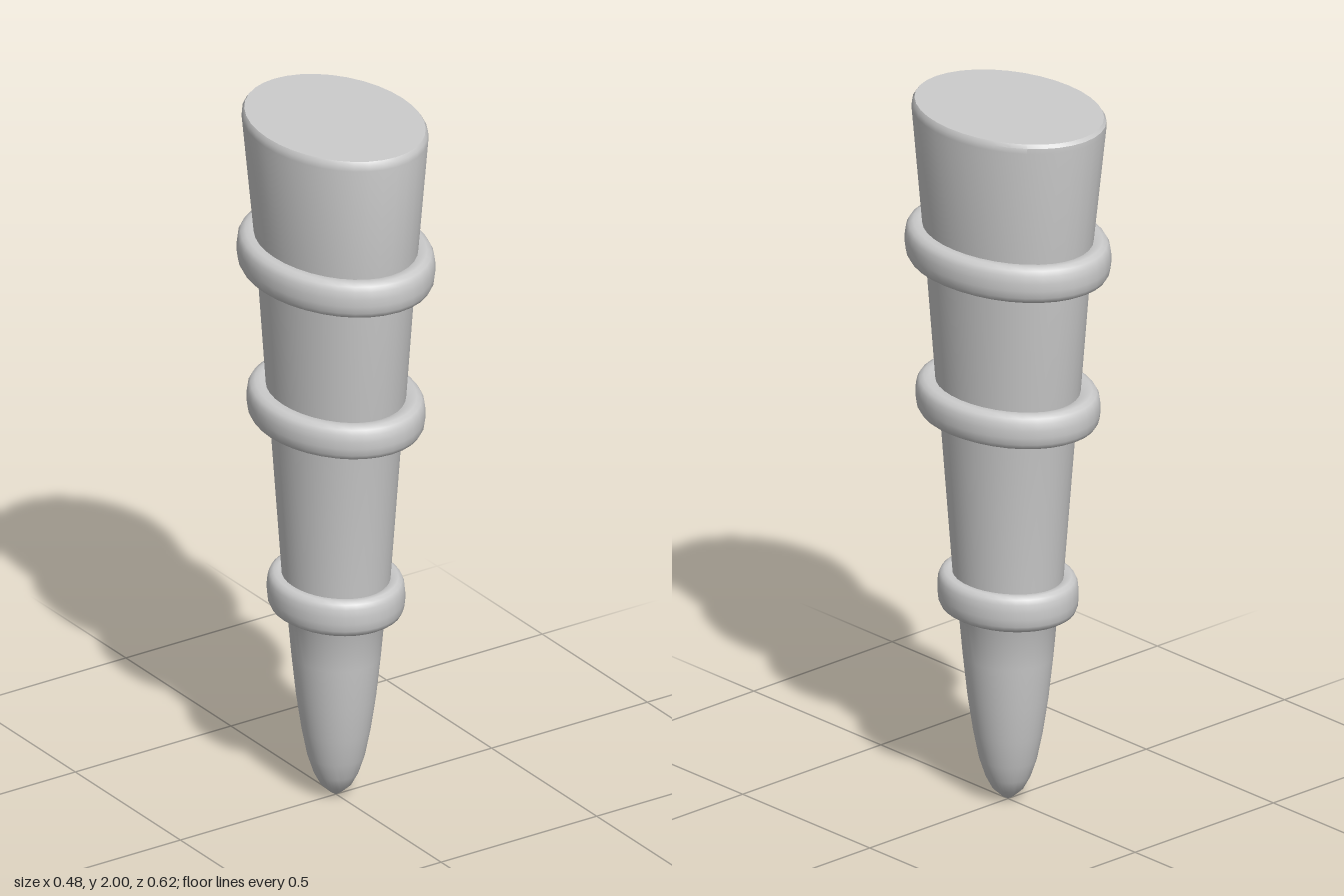
import * as THREE from 'three';
import { toCreasedNormals } from 'three/addons/utils/BufferGeometryUtils.js';

const SIDES = 36;

// Skin elliptical cross-sections, rows of [y, half width in x, half depth in z, z shift], bottom to top.
function loft(rows, crease) {
  const geometry = new THREE.LatheGeometry(rows.map(([y, rx]) => new THREE.Vector2(rx, y)), SIDES);
  const pos = geometry.attributes.position;
  for (let i = 0; i <= SIDES; i++) {
    const a = (i / SIDES) * Math.PI * 2;
    rows.forEach(([y, rx, rz, dz = 0], j) => {
      pos.setXYZ(i * rows.length + j, rx * Math.sin(a), y, rz * Math.cos(a) + dz);
    });
  }
  return toCreasedNormals(geometry, crease);
}

// Rounded band: an outer elliptical edge whose section bulges out from the body.
function ringRows(y0, y1, rx, rz, depth) {
  const mid = (y0 + y1) / 2, half = (y1 - y0) / 2;
  const section = [
    [-0.8, 1.4], [-1, 0.85], [-0.98, 0.5], [-0.85, 0.22], [-0.6, 0.06], [-0.2, 0],
    [0.2, 0], [0.6, 0.06], [0.85, 0.22], [0.98, 0.5], [1, 0.85], [0.8, 1.4],
  ];
  return section.map(([v, inset]) => [mid + v * half, rx - inset * depth, rz - inset * depth]);
}

export function createModel() {
  const group = new THREE.Group();
  const material = new THREE.MeshStandardMaterial({ color: 0xcccccc });
  const add = (name, geometry) => {
    const mesh = new THREE.Mesh(geometry, material);
    mesh.name = name;
    group.add(mesh);
  };

  // Tapering shaft with a blunt rounded tip and a flat, softly bevelled top
  add('shaft', loft([
    [0, 0, 0], [0.012, 0.018, 0.018], [0.035, 0.042, 0.043], [0.07, 0.06, 0.062],
    [0.12, 0.076, 0.079], [0.2, 0.091, 0.096], [0.3, 0.105, 0.112], [0.42, 0.117, 0.126],
    [0.53, 0.126, 0.137], [0.555, 0.136, 0.148], [0.6, 0.138, 0.154], [0.66, 0.139, 0.16],
    [1.1, 0.165, 0.2], [1.2, 0.172, 0.217], [1.54, 0.19, 0.25], [1.65, 0.199, 0.261],
    [1.975, 0.224, 0.297, -0.004], [1.99, 0.223, 0.296, -0.005],
    [2, 0.217, 0.289, -0.005], [2, 0, 0, -0.005],
  ], 0.55));

  // Three raised bands
  add('upperRing', loft(ringRows(1.54, 1.645, 0.241, 0.311, 0.045), 0.8));
  add('middleRing', loft(ringRows(1.105, 1.205, 0.22, 0.275, 0.045), 0.8));
  add('lowerRing', loft(ringRows(0.552, 0.657, 0.176, 0.202, 0.036), 0.8));

  return group;
}
